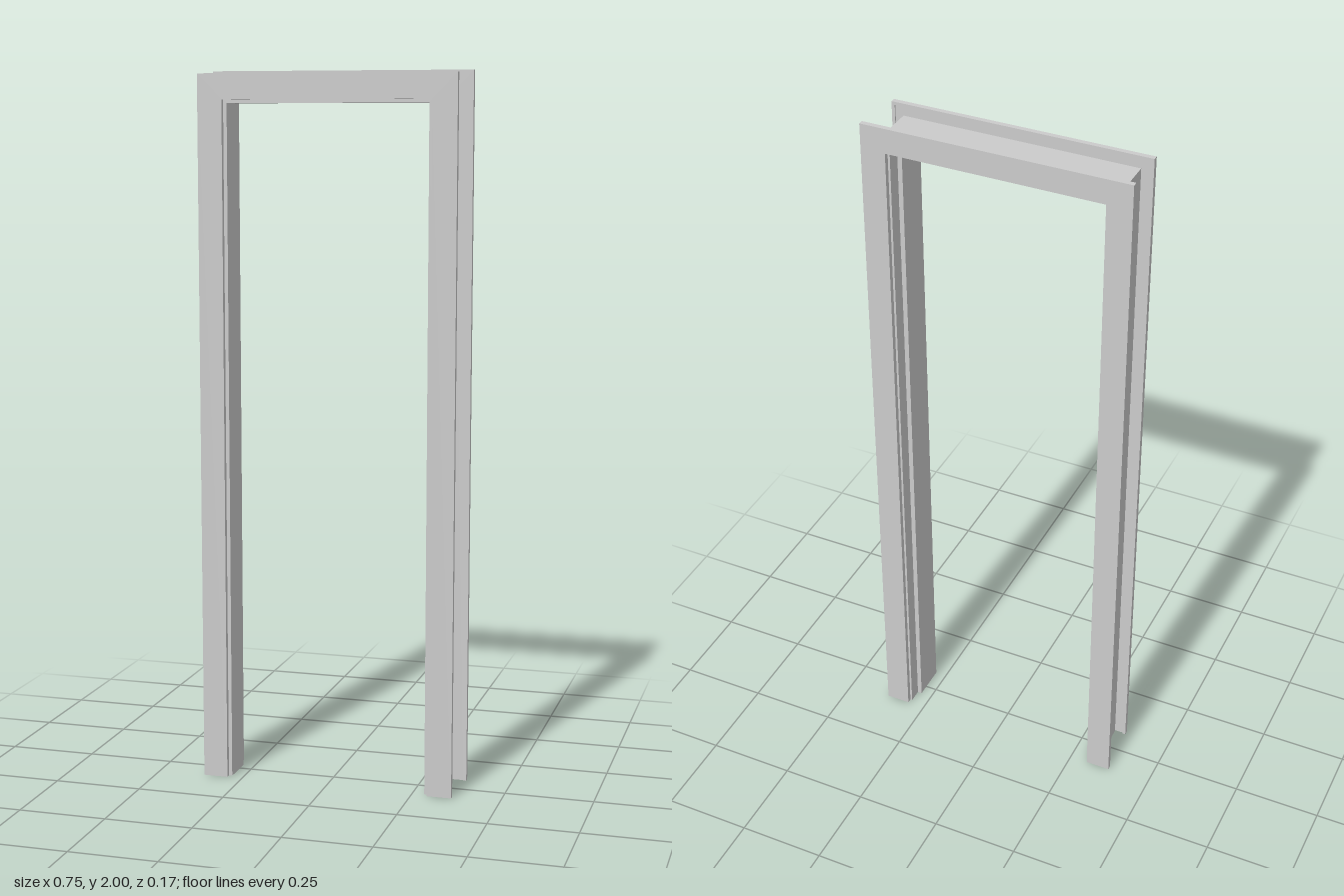
import * as THREE from 'three';

const HEAD = 1.627; // height of a point on the head = its half-width + HEAD

// Sweeps a closed profile of [half-width, z] points up one jamb, across the
// head and down the other jamb, with mitred corners and capped feet.
function sweepFrame(name, profile, material) {
  const contour = profile.map(([x, z]) => new THREE.Vector2(x, z));
  if (THREE.ShapeUtils.isClockWise(contour)) contour.reverse();
  const stations = [
    (p) => [p.x, 0, p.y],
    (p) => [p.x, p.x + HEAD, p.y],
    (p) => [-p.x, p.x + HEAD, p.y],
    (p) => [-p.x, 0, p.y],
  ];
  const positions = [];
  const tri = (a, b, c) => positions.push(...a, ...b, ...c);

  // Long faces of the two jambs and the head
  for (let s = 0; s < 3; s++) {
    const near = stations[s], far = stations[s + 1];
    contour.forEach((a, i) => {
      const b = contour[(i + 1) % contour.length];
      tri(near(a), far(a), far(b));
      tri(near(a), far(b), near(b));
    });
  }
  // Feet of the jambs
  for (const face of THREE.ShapeUtils.triangulateShape(contour, [])) {
    const [a, b, c] = face.map((i) => contour[i]);
    tri(stations[0](a), stations[0](b), stations[0](c));
    tri(stations[3](a), stations[3](c), stations[3](b));
  }

  const geometry = new THREE.BufferGeometry();
  geometry.setAttribute('position', new THREE.Float32BufferAttribute(positions, 3));
  geometry.computeVertexNormals();
  const mesh = new THREE.Mesh(geometry, material);
  mesh.name = name;
  return mesh;
}

// Flat trim board with a shallow relief on the side facing the wall
function casingProfile(outer, faceZ, side) {
  const inner = outer - 0.07;
  const z = (depth) => faceZ - side * depth;
  return [
    [inner, z(0)], [outer, z(0)], [outer, z(0.014)], [outer - 0.009, z(0.014)],
    [outer - 0.009, z(0.0105)], [outer - 0.054, z(0.0105)],
    [outer - 0.054, z(0.014)], [inner, z(0.014)],
  ];
}

export function createModel() {
  const group = new THREE.Group();
  group.name = 'doorFrame';
  const material = new THREE.MeshStandardMaterial({ color: 0xcccccc });

  // Lining with a rebate at the back for the door leaf
  const lining = [
    [0.33, -0.073], [0.33, 0.07], [0.284, 0.07],
    [0.284, -0.033], [0.297, -0.033], [0.297, -0.073],
  ];
  group.add(
    sweepFrame('lining', lining, material),
    sweepFrame('frontCasing', casingProfile(0.364, 0.084, 1), material),
    sweepFrame('backCasing', casingProfile(0.373, -0.087, -1), material),
  );
  return group;
}
